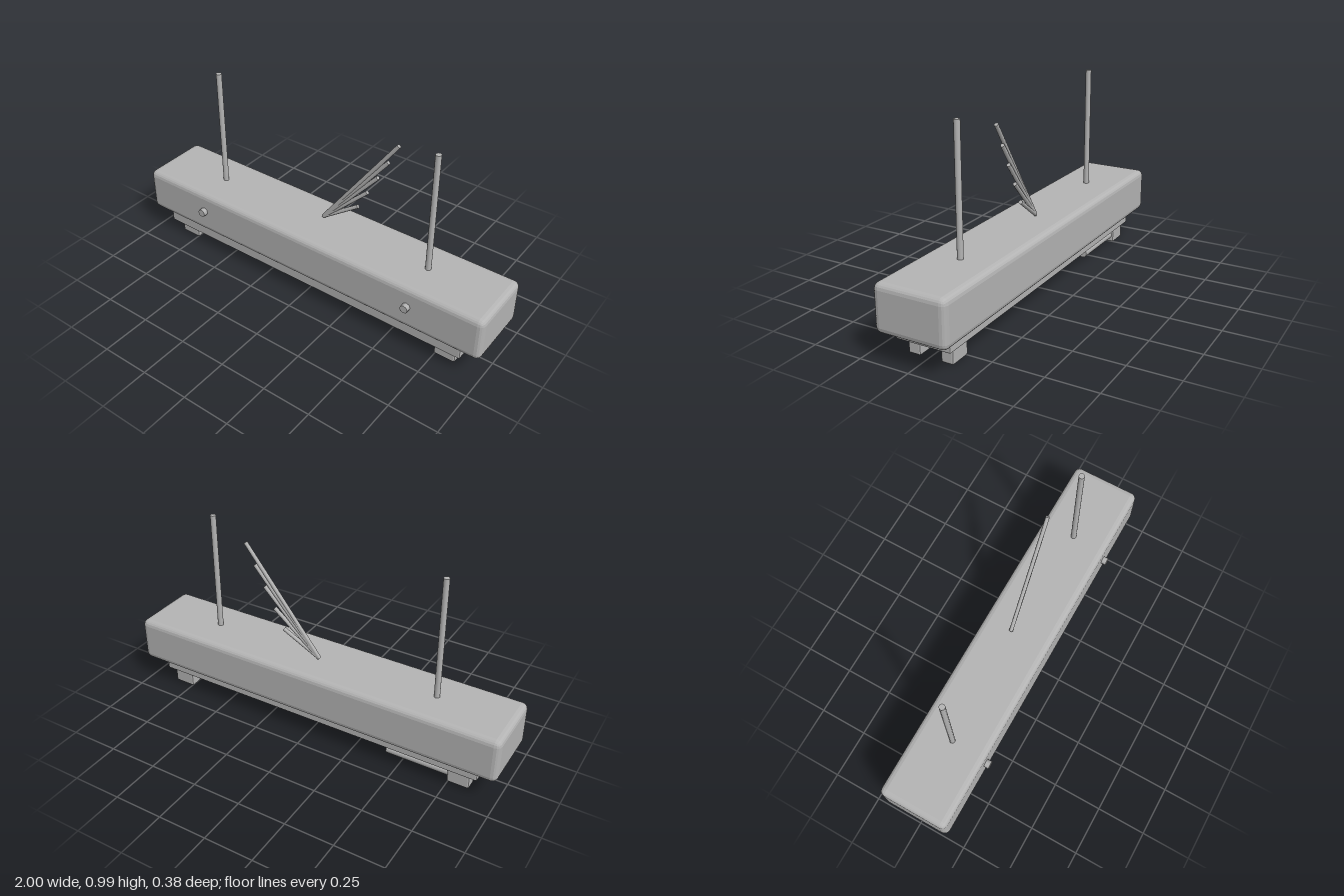
import * as THREE from 'three';
import { RoundedBoxGeometry } from 'three/addons/geometries/RoundedBoxGeometry.js';

export function createModel() {
  const model = new THREE.Group();
  model.name = 'hangingTubeLamp';

  const greyMetal = new THREE.MeshStandardMaterial({ color: 0xb4b4b4 });
  greyMetal.name = 'grey metal';
  const creamGlass = new THREE.MeshStandardMaterial({ color: 0xd2d2b0 });
  creamGlass.name = 'cream glass';

  const add = (name, geometry, material, x = 0, y = 0, z = 0) => {
    const mesh = new THREE.Mesh(geometry, material);
    mesh.name = name;
    mesh.position.set(x, y, z);
    model.add(mesh);
    return mesh;
  };

  // Box with faceted bevels
  const bevelBox = (w, h, d, radius, segments) => {
    const g = new RoundedBoxGeometry(w, h, d, segments, radius);
    g.computeVertexNormals();
    return g;
  };

  // Round bar between two points
  const bar = (name, from, to, radius, material, sides = 12) => {
    const a = new THREE.Vector3(...from), b = new THREE.Vector3(...to);
    const dir = b.clone().sub(a);
    const mesh = add(name, new THREE.CylinderGeometry(radius, radius, dir.length(), sides), material);
    mesh.position.copy(a).lerp(b, 0.5);
    mesh.quaternion.setFromUnitVectors(new THREE.Vector3(0, 1, 0), dir.normalize());
    return mesh;
  };

  // Housing and the tray beneath it
  add('housing', bevelBox(2, 0.23, 0.36, 0.03, 2), greyMetal, 0, 0.255, -0.012);
  add('tray', bevelBox(1.79, 0.085, 0.28, 0.007, 1), greyMetal, 0, 0.1175, 0);

  for (const side of [-1, 1]) {
    // Hanging rod and front knob
    bar('hangingRod', [side * 0.617, 0.35, -0.012], [side * 0.617, 0.99, -0.012], 0.0145, greyMetal);
    bar('knob', [side * 0.617, 0.267, 0.15], [side * 0.617, 0.267, 0.193], 0.021, greyMetal, 8);

    // Tube sockets, front and back
    for (const z of [0.073, -0.095]) {
      add('tubeSocket', bevelBox(0.112, 0.08, 0.062, 0.008, 1), greyMetal, side * 0.8, 0.04, z);
    }
  }

  // Whole tube in front, broken stub behind
  bar('frontTube', [-0.76, 0.04, 0.073], [0.76, 0.04, 0.073], 0.022, creamGlass, 16);
  bar('brokenTubeStub', [-0.76, 0.04, -0.095], [-0.42, 0.04, -0.095], 0.022, greyMetal, 16);

  // Fan of loose wires rising from the housing
  const wireEnds = [[0.393, 0.923], [0.343, 0.818], [0.291, 0.715], [0.237, 0.61], [0.186, 0.508]];
  for (const [x, y] of wireEnds) {
    bar('looseWire', [0, 0.385, -0.038], [x, y, -0.063], 0.01, greyMetal, 8);
  }

  return model;
}
